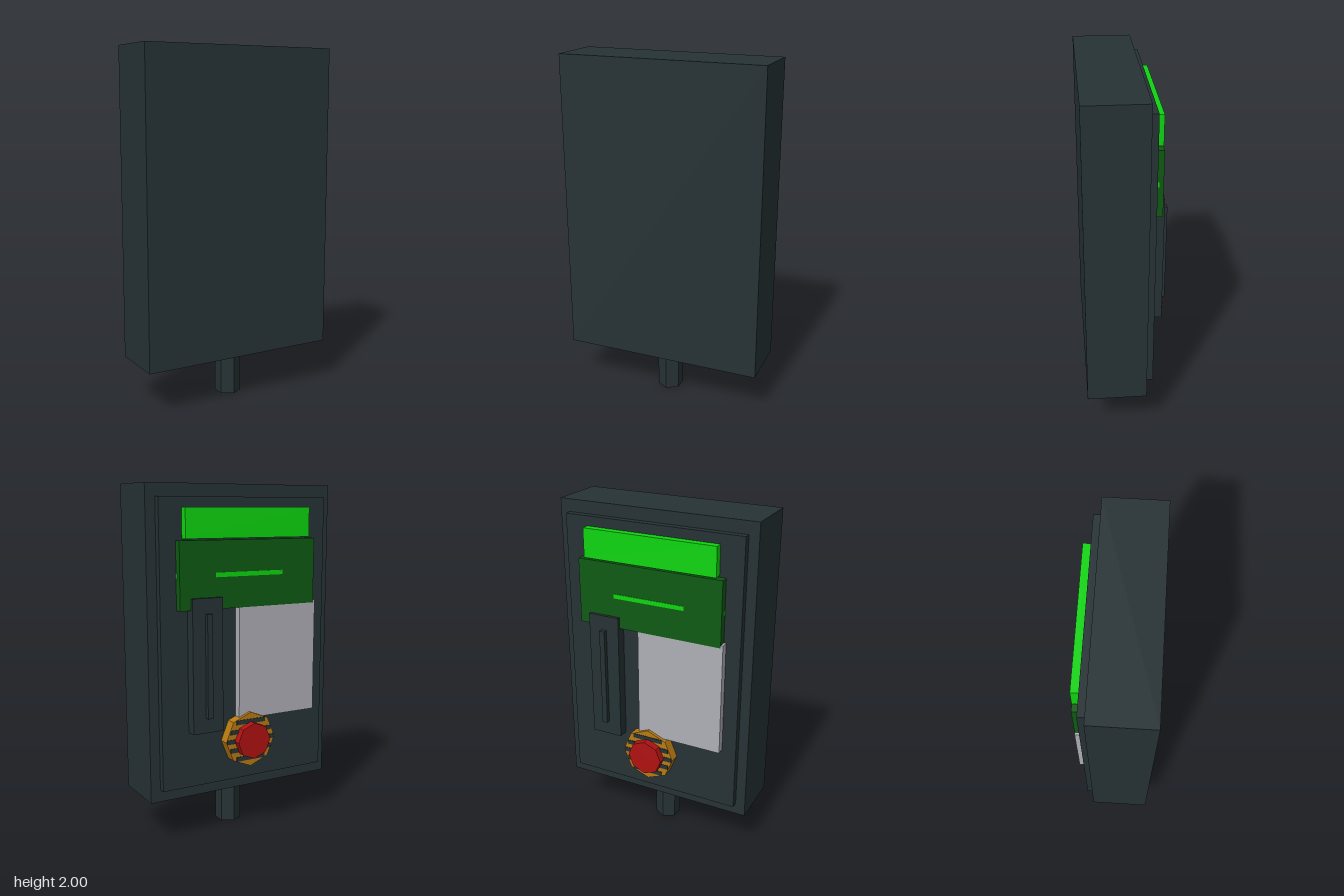
import * as THREE from 'three';

const paint = (name, color) => {
  const m = new THREE.MeshStandardMaterial({ color });
  m.name = name;
  return m;
};

export function createModel() {
  const group = new THREE.Group();
  const slate = paint('dark slate', 0x263235);
  const lime = paint('bright green', 0x0dd60f);
  const forest = paint('dark green', 0x0e5a12);
  const grey = paint('light grey', 0xaeaeb6);
  const amber = paint('amber', 0xb87a12);
  const red = paint('red', 0xb01212);

  const add = (name, geometry, material) => {
    const mesh = new THREE.Mesh(geometry, material);
    mesh.name = name;
    group.add(mesh);
    return mesh;
  };
  // Box given by its limits on each axis
  const box = (name, material, x0, x1, y0, y1, z0, z1) =>
    add(name, new THREE.BoxGeometry(x1 - x0, y1 - y0, z1 - z0), material)
      .position.set((x0 + x1) / 2, (y0 + y1) / 2, (z0 + z1) / 2);
  // Flat-sided prism along z, with corners on the x and y axes
  const prism = (name, material, radius, y, z0, z1) => {
    const g = new THREE.CylinderGeometry(radius, radius, z1 - z0, 8).toNonIndexed();
    g.computeVertexNormals();
    g.rotateX(Math.PI / 2);
    add(name, g, material).position.set(0, y, (z0 + z1) / 2);
  };

  // Casing and raised back panel
  box('casing', slate, -0.583, 0.583, 0.255, 2, -0.095, 0.24);
  box('backPanel', slate, -0.526, 0.526, 0.325, 1.93, -0.135, -0.095);

  // Six-sided stem below the casing
  const stem = new THREE.CylinderGeometry(0.075, 0.075, 0.255, 6).toNonIndexed();
  stem.computeVertexNormals();
  add('stem', stem, slate).position.set(0, 0.1275, 0.075);

  // Light bar and display with its lit line and side lamps
  box('lightBar', lime, -0.393, 0.393, 1.71, 1.875, -0.179, -0.135);
  box('display', forest, -0.43, 0.43, 1.33, 1.702, -0.179, -0.135);
  box('displayLine', lime, -0.213, 0.213, 1.503, 1.528, -0.182, -0.178);
  for (const s of [-1, 1]) {
    const x = s * 0.43;
    box('sideLamp', lime, x - 0.003, x + 0.003, 1.502, 1.528, -0.156, -0.138);
  }

  // Grey plate and slider
  box('greyPlate', grey, -0.443, 0.066, 0.69, 1.345, -0.178, -0.135);
  box('sliderPlate', slate, 0.18, 0.365, 0.645, 1.395, -0.197, -0.135);
  box('sliderRail', slate, 0.256, 0.288, 0.73, 1.31, -0.222, -0.197);

  // Push button on a striped base
  const cy = 0.568, r = 0.16;
  prism('buttonBase', amber, r, cy, -0.196, -0.135);
  prism('button', red, 0.105, cy, -0.24, -0.196);
  const half = (y) => { // half width of the eight-sided base at height y
    const a = Math.abs(y), k = r * Math.SQRT1_2;
    return a < k ? r - a * (r - k) / k : k * (r - a) / (r - k);
  };
  for (let i = -2; i <= 2; i++) {
    const y = i * 0.054, h = 0.013;
    const w = half(Math.abs(y) + h);
    box('baseStripe', slate, -w, w, cy + y - h, cy + y + h, -0.199, -0.195);
  }
  return group;
}
